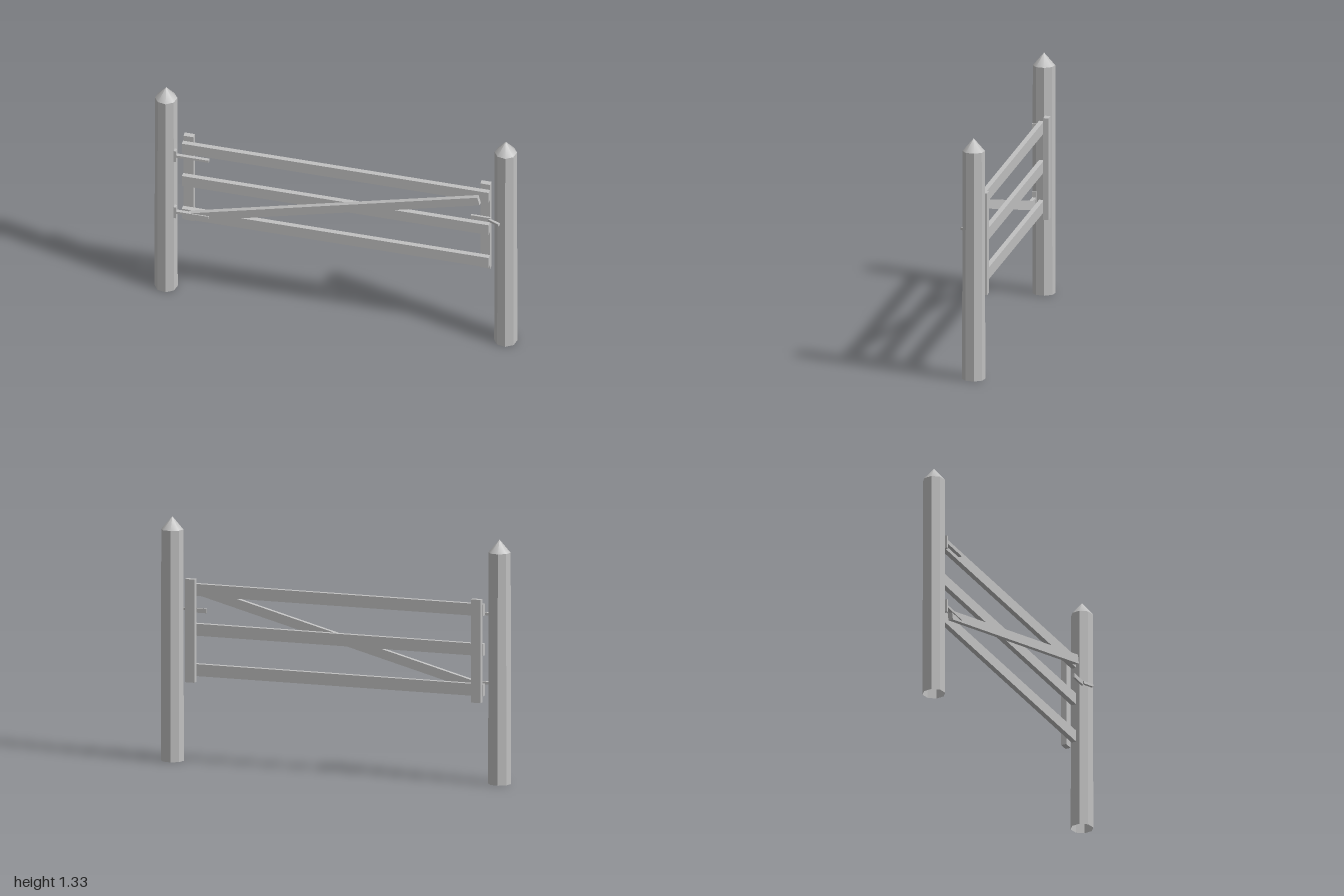
import * as THREE from 'three';

export function createModel() {
  const gate = new THREE.Group();
  gate.name = 'fieldGate';

  const grey = new THREE.MeshStandardMaterial({ color: 0xc0c0c0 });
  grey.name = 'grey';
  grey.side = THREE.DoubleSide;
  const flatGrey = grey;

  const add = (name, geometry, x, y, z) => {
    const mesh = new THREE.Mesh(geometry, flatGrey);
    mesh.name = name;
    mesh.position.set(x, y, z);
    gate.add(mesh);
    return mesh;
  };
  const box = (name, w, h, d, x, y, z) => add(name, new THREE.BoxGeometry(w, h, d), x, y, z);
  const faceted = (geometry) => {
    const g = geometry.toNonIndexed();
    g.computeVertexNormals();
    return g;
  };

  // Octagonal posts, open underneath, with smooth pointed caps
  const turn = THREE.MathUtils.degToRad(12);
  for (const [side, s] of [['right', -1], ['left', 1]]) {
    add(side + 'Post', faceted(new THREE.CylinderGeometry(0.06, 0.062, 1.255, 8, 1, true, turn)), s * 0.938, 0.6275, -0.01);
    add(side + 'PostCap', new THREE.ConeGeometry(0.06, 0.07, 8, 1, true, turn), s * 0.938, 1.29, -0.01);
  }

  // Three rails and the two uprights behind them
  for (const y of [0.503, 0.722, 0.938]) box('rail', 1.695, 0.065, 0.028, -0.002, y, -0.015);
  for (const x of [-0.822, 0.818]) box('upright', 0.055, 0.56, 0.03, x, 0.72, -0.049);

  // Diagonal brace on the front
  const brace = box('brace', 1.65, 0.05, 0.026, 0, 0.722, 0.021);
  brace.rotation.z = Math.atan2(0.415, 1.597);

  // Strap hinges: post plate and long strap
  for (const y of [0.91, 0.535]) {
    box('hingePlate', 0.014, 0.072, 0.024, -0.876, y, 0.03);
    box('hingeStrap', 0.19, 0.014, 0.02, -0.785, y, 0.03);
  }

  // Latch bar with its angled handle
  box('latchBar', 0.11, 0.024, 0.012, 0.81, 0.817, 0.026);
  const handle = box('latchHandle', 0.068, 0.014, 0.014, 0.888, 0.817, 0.047);
  handle.rotation.y = -0.42;

  return gate;
}
